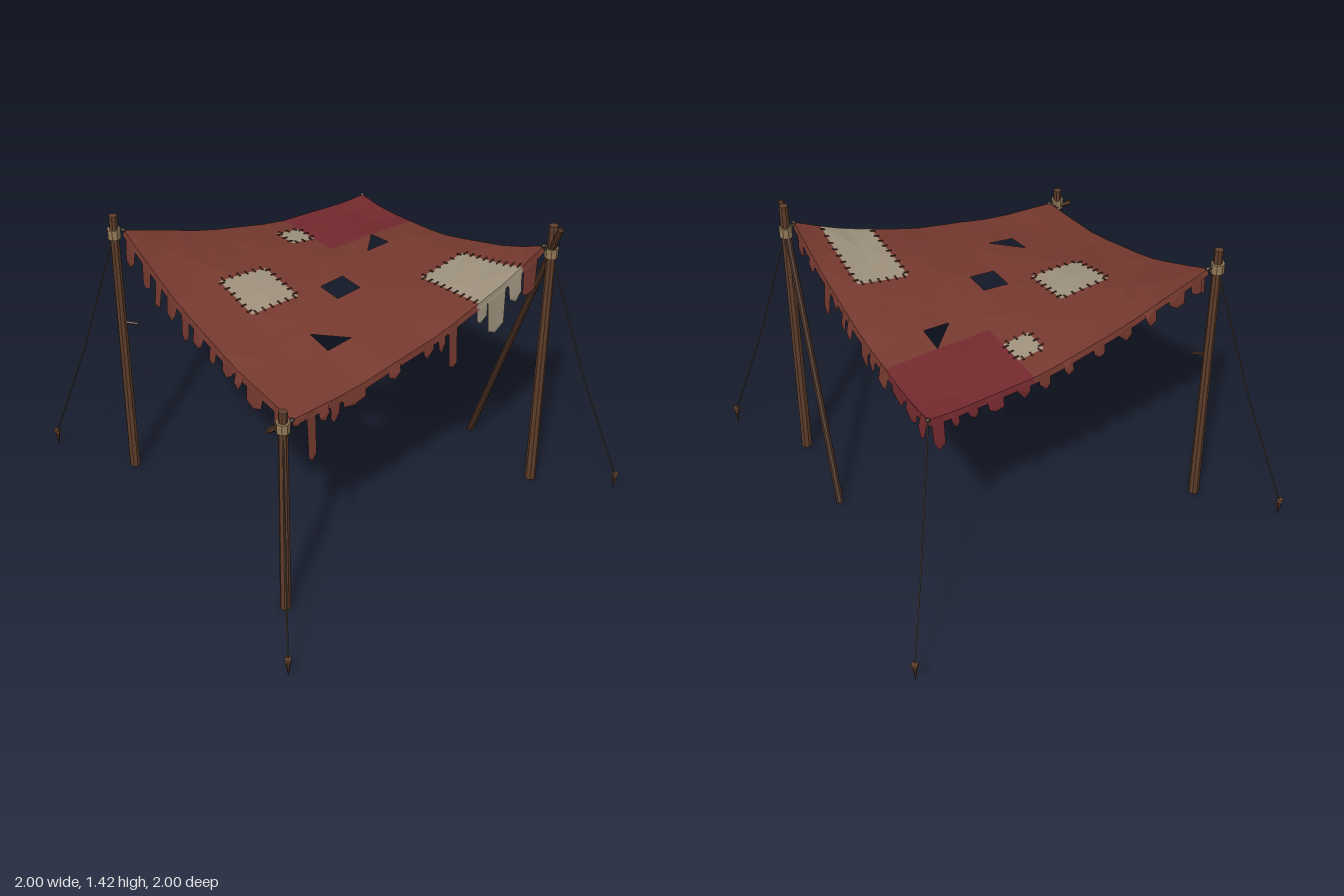
import * as THREE from 'three';

const mat = (name, color, side = THREE.FrontSide) => {
  const m = new THREE.MeshStandardMaterial({ color, side, flatShading: true });
  m.name = name;
  return m;
};

// Canopy extents and grid
const X0 = -0.69, X1 = 0.69, Z0 = -0.62, Z1 = 0.64, NX = 11, NZ = 10;
const DX = (X1 - X0) / NX, DZ = (Z1 - Z0) / NZ;

// Saddle-shaped cloth: two high and two low corners, with sag
function height(x, z) {
  const u = (x - X0) / (X1 - X0), v = (z - Z0) / (Z1 - Z0);
  const base = (1.32 * (1 - u) + 1.05 * u) * (1 - v) + (1.0 * (1 - u) + 1.31 * u) * v;
  const a = 4 * u * (1 - u), b = 4 * v * (1 - v);
  const ripple = 0.006 * Math.sin(x * 11 + z * 5) * Math.cos(z * 9 - x * 4);
  return base - 0.08 * (1 - (1 - a) * (1 - b)) + ripple;
}

// Patches as grid cells: first column, first row, columns, rows
const PATCHES = [[2, 3, 2, 2], [6, 1, 1, 1], [8, 7, 2, 3]];
function clothAt(i, j) {
  if (PATCHES.some(([c, r, w, h]) => i >= c && i < c + w && j >= r && j < r + h)) return 'pale';
  return i >= 7 && j < 3 ? 'crimson' : 'rust';
}
const clamp = (n, max) => Math.max(0, Math.min(max, n));
const clothNear = (x, z) => clothAt(clamp(Math.floor((x - X0) / DX), NX - 1), clamp(Math.floor((z - Z0) / DZ), NZ - 1));

export function createModel() {
  const group = new THREE.Group();
  const D = THREE.DoubleSide;
  const cloth = {
    rust: mat('rustCloth', 0x773a30, D),
    crimson: mat('crimsonCloth', 0x742a2e, D),
    pale: mat('paleCloth', 0xa0937f, D),
  };
  const wood = mat('wood', 0x5e3e2b), darkWood = mat('darkWood', 0x4b3022);
  const rope = mat('rope', 0x51483a), lashing = mat('lashing', 0x917a58), thread = mat('thread', 0x57302a);

  const add = (name, geo, material) => {
    const m = new THREE.Mesh(geo, material);
    m.name = name;
    group.add(m);
    return m;
  };
  // Tapered rod between two points
  const rod = (name, a, b, ra, rb, material, sides = 8) => {
    const A = new THREE.Vector3(...a), B = new THREE.Vector3(...b), d = B.clone().sub(A);
    const m = add(name, new THREE.CylinderGeometry(rb, ra, d.length(), sides), material);
    m.position.copy(A).add(B).multiplyScalar(0.5);
    m.quaternion.setFromUnitVectors(new THREE.Vector3(0, 1, 0), d.normalize());
    return m;
  };
  // Collect triangles per colour, then turn each list into one mesh
  const sheet = () => ({ rust: [], crimson: [], pale: [] });
  const flush = (name, lists) => {
    for (const key in lists) {
      const g = new THREE.BufferGeometry();
      g.setAttribute('position', new THREE.Float32BufferAttribute(lists[key].flat(), 3));
      g.computeVertexNormals();
      add(key + name, g, cloth[key]);
    }
  };

  // Canopy with one square tear and two triangular tears
  const canopy = sheet();
  for (let i = 0; i < NX; i++) for (let j = 0; j < NZ; j++) {
    if (i === 5 && j === 5) continue;
    const P = (a, b) => {
      const x = X0 + (i + a) * DX, z = Z0 + (j + b) * DZ;
      return [x, height(x, z), z];
    };
    const p = P(0, 0), q = P(1, 0), r = P(1, 1), s = P(0, 1), out = canopy[clothAt(i, j)];
    if (i === 8 && j === 3) out.push(p, s, q);
    else if (i === 3 && j === 7) out.push(p, r, q);
    else if ((i * 7 + j * 5) % 3) out.push(p, s, q, q, s, r);
    else out.push(p, s, r, p, r, q);
  }
  flush('Canopy', canopy);

  // Edges: position along the side plus outward offset
  const edges = {
    front: (t, o) => [t, Z1 + o], back: (t, o) => [t, Z0 - o],
    left: (t, o) => [X1 + o, t], right: (t, o) => [X0 - o, t],
  };
  const edgePoint = (side, t, o, y) => {
    const [x, z] = edges[side](t, o), [ex, ez] = edges[side](t, 0);
    return [x, y ?? height(ex, ez), z];
  };

  // Narrow hem along all four edges
  const hem = sheet();
  for (const side in edges) {
    const alongX = side === 'front' || side === 'back';
    const n = alongX ? NX : NZ, start = alongX ? X0 : Z0, step = alongX ? DX : DZ;
    for (let k = 0; k < n; k++) {
      const t0 = start + k * step, t1 = t0 + step;
      const a = edgePoint(side, t0, 0), b = edgePoint(side, t1, 0);
      const c = edgePoint(side, t1, 0.006, b[1] - 0.03), d = edgePoint(side, t0, 0.006, a[1] - 0.03);
      hem[clothNear(...edges[side]((t0 + t1) / 2, -0.01))].push(a, d, c, a, c, b);
    }
  }
  flush('Hem', hem);

  // Ragged strips: start, end, lowest height
  const rags = {
    front: [[-0.69, -0.63, 0.96], [-0.62, -0.575, 0.755], [-0.565, -0.51, 0.93], [-0.5, -0.45, 0.89], [-0.44, -0.31, 0.94],
      [-0.2, -0.13, 0.98], [0, 0.06, 1.0], [0.08, 0.12, 1.0], [0.14, 0.19, 0.9], [0.3, 0.365, 1.06],
      [0.365, 0.47, 0.98], [0.48, 0.56, 1.1], [0.57, 0.655, 1.1]],
    back: [[-0.66, -0.6, 1.2], [-0.57, -0.48, 1.17], [-0.42, -0.36, 1.13], [-0.3, -0.22, 1.09], [-0.16, -0.1, 1.06],
      [0.0, 0.05, 1.03], [0.11, 0.17, 0.99], [0.21, 0.28, 0.99], [0.34, 0.42, 0.98], [0.46, 0.51, 0.98],
      [0.55, 0.59, 0.97], [0.62, 0.68, 0.89]],
    left: [[0.54, 0.6, 1.18], [0.42, 0.48, 1.16], [0.27, 0.33, 1.02], [0.2, 0.25, 1.08], [0.12, 0.16, 1.03], [0.05, 0.1, 1.02],
      [-0.09, -0.02, 0.96], [-0.16, -0.11, 0.98], [-0.28, -0.2, 0.97], [-0.42, -0.31, 0.97], [-0.54, -0.44, 0.96], [-0.62, -0.56, 0.94]],
    right: [[0.52, 0.62, 0.9], [0.33, 0.45, 0.91], [0.25, 0.31, 0.95], [0.15, 0.24, 0.95], [0.06, 0.11, 0.97], [-0.06, 0.02, 1.0],
      [-0.16, -0.1, 0.97], [-0.27, -0.19, 1.03], [-0.36, -0.31, 1.05], [-0.47, -0.4, 1.09], [-0.6, -0.52, 1.15]],
  };
  const strips = sheet();
  for (const side in rags) rags[side].forEach(([t0, t1, low], k) => {
    const w = t1 - t0, out = 0.008 + (k % 3) * 0.005;
    const tip = Math.min(0.06, 0.02 + (k % 4) * 0.008);
    const a = edgePoint(side, t0, 0.003), b = edgePoint(side, t1, 0.003);
    const c = edgePoint(side, t1 - w * 0.08, out, low + tip), d = edgePoint(side, t0 + w * 0.04, out, low + tip * 0.6);
    const e = edgePoint(side, t0 + w * (0.35 + 0.1 * (k % 3)), out, low);
    strips[clothNear(...edges[side]((t0 + t1) / 2, -0.01))].push(a, d, c, a, c, b, d, e, c);
  });
  flush('HangingStrips', strips);

  // Stitches crossing the patch borders
  const stitch = (x, z, alongX) => {
    if (z > Z1 - 0.02) return;
    const m = add('stitch', new THREE.BoxGeometry(alongX ? 0.007 : 0.026, 0.004, alongX ? 0.026 : 0.007), thread);
    m.position.set(x, height(x, z) + 0.004, z);
    const e = 0.01;
    m.rotation.z = Math.atan((height(x + e, z) - height(x - e, z)) / (2 * e));
    m.rotation.x = -Math.atan((height(x, z + e) - height(x, z - e)) / (2 * e));
  };
  for (const [c, r, w, h] of PATCHES) {
    const xa = X0 + c * DX, xb = xa + w * DX, za = Z0 + r * DZ, zb = za + h * DZ;
    for (let k = 0; k < w * 3; k++) for (const z of [za, zb]) stitch(xa + (k + 0.5) * DX / 3, z, true);
    for (let k = 0; k < h * 3; k++) for (const x of [xa, xb]) stitch(x, za + (k + 0.5) * DZ / 3, false);
  }

  // Three upright posts and one leaning brace
  rod('backRightPost', [-0.745, 0, -0.63], [-0.735, 1.4, -0.625], 0.026, 0.02, wood);
  rod('frontLeftPost', [0.74, 0, 0.655], [0.73, 1.41, 0.65], 0.027, 0.021, wood);
  rod('frontRightPost', [-0.745, 0, 0.64], [-0.735, 1.06, 0.64], 0.025, 0.02, wood);
  rod('leaningBrace', [0.78, 0, 0.18], [0.72, 1.41, 0.7], 0.018, 0.015, darkWood);
  rod('crossPeg', [-0.8, 0.98, 0.62], [-0.69, 0.975, 0.625], 0.013, 0.011, darkWood, 6);
  rod('sidePeg', [-0.74, 0.84, -0.63], [-0.685, 0.835, -0.575], 0.008, 0.006, darkWood, 6);

  // Lashings and short ties to the cloth corners
  const ties = [
    [[-0.736, 1.31, -0.627], [X0, 1.32, Z0]],
    [[0.731, 1.275, 0.65], [X1, 1.31, Z1]],
    [[-0.736, 0.985, 0.64], [X0, 1.0, Z1]],
  ];
  for (const [p, corner] of ties) {
    rod('lashing', [p[0], p[1] - 0.024, p[2]], [p[0], p[1] + 0.024, p[2]], 0.031, 0.031, lashing);
    rod('cornerTie', p, corner, 0.007, 0.007, rope, 6);
  }
  for (const [x, z] of [[X0, Z0], [X1, Z1], [X0, Z1], [X1, Z0]]) {
    const knot = add('cornerKnot', new THREE.IcosahedronGeometry(0.012, 0), rope);
    knot.position.set(x, height(x, z), z);
  }

  // Sagging guy ropes and ground stakes
  for (const top of [ties[0][0], ties[1][0], ties[2][0], [X1, 1.05, Z0]]) {
    const sx = Math.sign(top[0]) * 0.98, sz = Math.sign(top[2]) * 0.98;
    const mid = [(top[0] + sx) / 2, (top[1] + 0.1) / 2 - 0.05, (top[2] + sz) / 2];
    rod('guyRope', top, mid, 0.0035, 0.0035, rope, 5);
    rod('guyRope', mid, [sx, 0.1, sz], 0.0035, 0.0035, rope, 5);
    rod('stake', [sx, 0.015, sz], [sx, 0.1, sz], 0.001, 0.013, darkWood, 6);
    const head = add('stakeHead', new THREE.BoxGeometry(0.028, 0.013, 0.028), wood);
    head.position.set(sx, 0.106, sz);
    head.rotation.y = Math.PI / 4;
  }
  return group;
}
